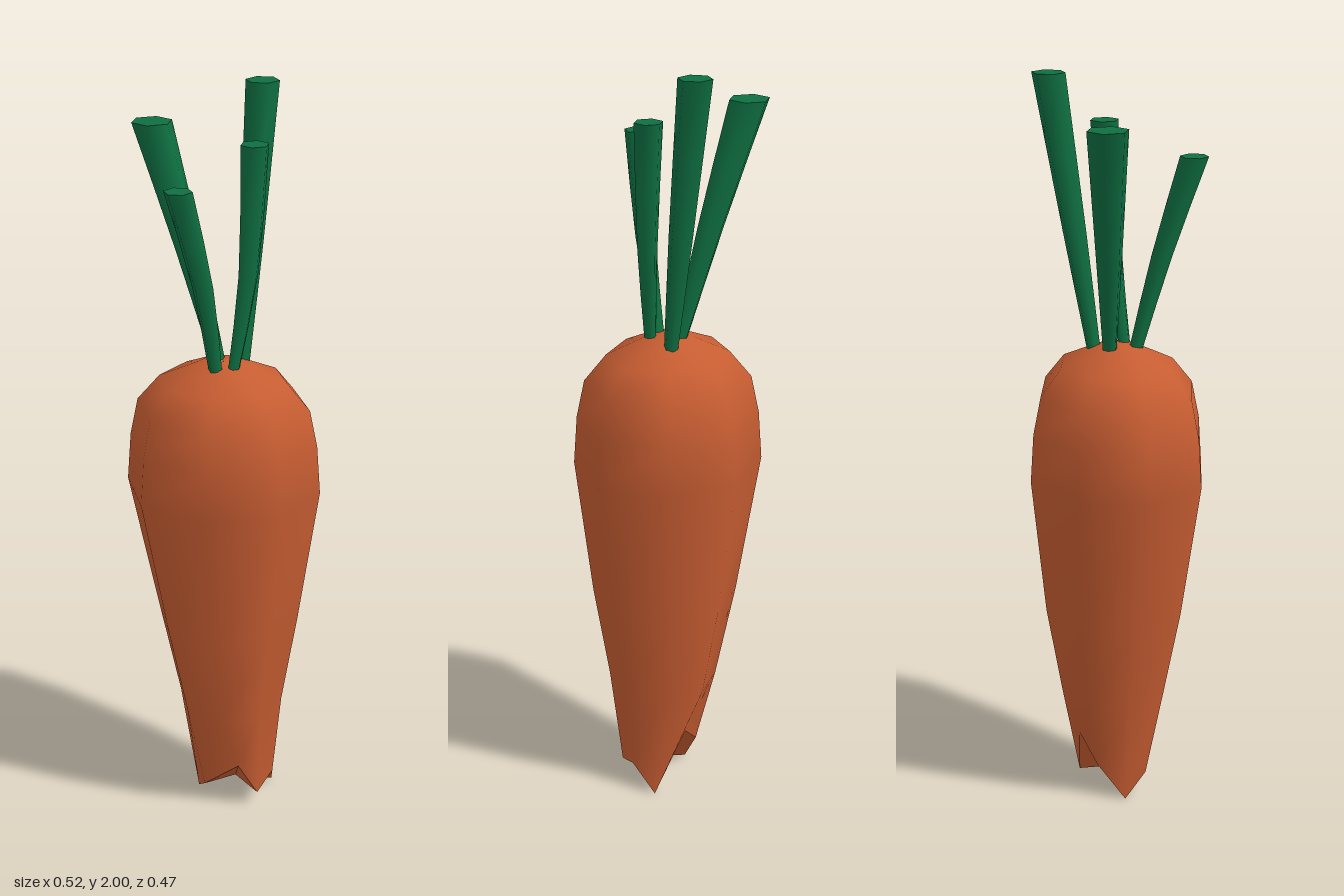
import * as THREE from 'three';
import { mergeGeometries } from 'three/addons/utils/BufferGeometryUtils.js';

const orange = new THREE.MeshStandardMaterial({ color: 0xc75d32, name: 'carrot orange' });
const green = new THREE.MeshStandardMaterial({ color: 0x0f7042, name: 'stalk green' });

// Smooth skin through rings listed from bottom to top
function skin(rings) {
  const n = rings[0].length, index = [];
  for (let r = 0; r < rings.length - 1; r++) {
    for (let i = 0; i < n; i++) {
      const j = (i + 1) % n, a = r * n + i, b = r * n + j;
      index.push(a, a + n, b, b, a + n, b + n);
    }
  }
  const g = new THREE.BufferGeometry().setFromPoints(rings.flat());
  g.setIndex(index);
  g.computeVertexNormals();
  return g.toNonIndexed();
}

// Flat-shaded fan from a centre point to a ring
function fan(ring, center, up) {
  const pts = [];
  ring.forEach((p, i) => {
    const q = ring[(i + 1) % ring.length];
    pts.push(center, ...(up ? [q, p] : [p, q]));
  });
  const g = new THREE.BufferGeometry().setFromPoints(pts);
  g.computeVertexNormals();
  return g;
}

function ring(n, cx, y, cz, rx, rz, turn = 0) {
  return Array.from({ length: n }, (_, i) => {
    const a = (i / n) * Math.PI * 2 + turn;
    return new THREE.Vector3(cx + rx * Math.cos(a), y, cz + rz * Math.sin(a));
  });
}

function createRoot() {
  // Jagged broken end: one height per corner, starting at +x and turning toward +z
  const heights = [0.08, 0.05, 0.15, 0.06, 0.005, 0.11, 0.18, 0.005];
  const broken = ring(8, 0.036, 0, 0, 0.106, 0.1);
  broken.forEach((p, i) => { p.y = heights[i]; });
  broken[2].x = 0.062;
  broken[7].x = 0.128;

  // [y, centre x, radius x, radius z]
  const profile = [
    [0.32, 0.022, 0.142, 0.15],
    [0.58, 0.014, 0.191, 0.196],
    [0.96, 0, 0.258, 0.237],
    [1.09, 0, 0.248, 0.228],
    [1.19, 0, 0.227, 0.207],
    [1.26, 0, 0.168, 0.152],
    [1.305, 0, 0.065, 0.06],
    [1.31, 0, 0.001, 0.001],
  ];
  const rings = [broken, ...profile.map(([y, x, rx, rz]) => ring(8, x, y, 0, rx, rz))];
  const mesh = new THREE.Mesh(
    mergeGeometries([skin(rings), fan(broken, new THREE.Vector3(0.036, 0.052, 0), false)]), orange);
  mesh.name = 'root';
  return mesh;
}

// Tapered six-sided stalk following a bent path, cut flat at the top
function createStalk({ path, r0, r1, turn }) {
  const curve = new THREE.CatmullRomCurve3(path.map((p) => new THREE.Vector3(...p)));
  const rings = [];
  for (let k = 0; k <= 4; k++) {
    const t = k / 4, p = curve.getPoint(t), r = r0 + (r1 - r0) * t;
    rings.push(ring(6, p.x, p.y, p.z, r, r, turn));
  }
  const top = rings[4];
  return new THREE.Mesh(
    mergeGeometries([skin(rings), fan(top, curve.getPoint(1), true)]), green);
}

export function createModel() {
  const group = new THREE.Group();
  group.name = 'carrot';
  group.add(createRoot());

  const stalks = [
    { name: 'stalkRight', path: [[-0.015, 1.29, -0.025], [-0.1, 1.59, -0.055], [-0.198, 1.9, -0.09]], r0: 0.018, r1: 0.053, turn: Math.PI / 6 },
    { name: 'stalkFront', path: [[-0.01, 1.29, 0.045], [-0.03, 1.54, 0.108], [-0.075, 1.8, 0.176]], r0: 0.017, r1: 0.036, turn: 0 },
    { name: 'stalkLeft', path: [[0.032, 1.29, 0.032], [0.066, 1.55, 0.008], [0.077, 1.875, -0.008]], r0: 0.015, r1: 0.037, turn: Math.PI / 6 },
    { name: 'stalkBack', path: [[0.042, 1.29, -0.05], [0.055, 1.6, -0.095], [0.07, 2, -0.154]], r0: 0.018, r1: 0.043, turn: 0 },
  ];
  for (const s of stalks) {
    const mesh = createStalk(s);
    mesh.name = s.name;
    group.add(mesh);
  }
  return group;
}
